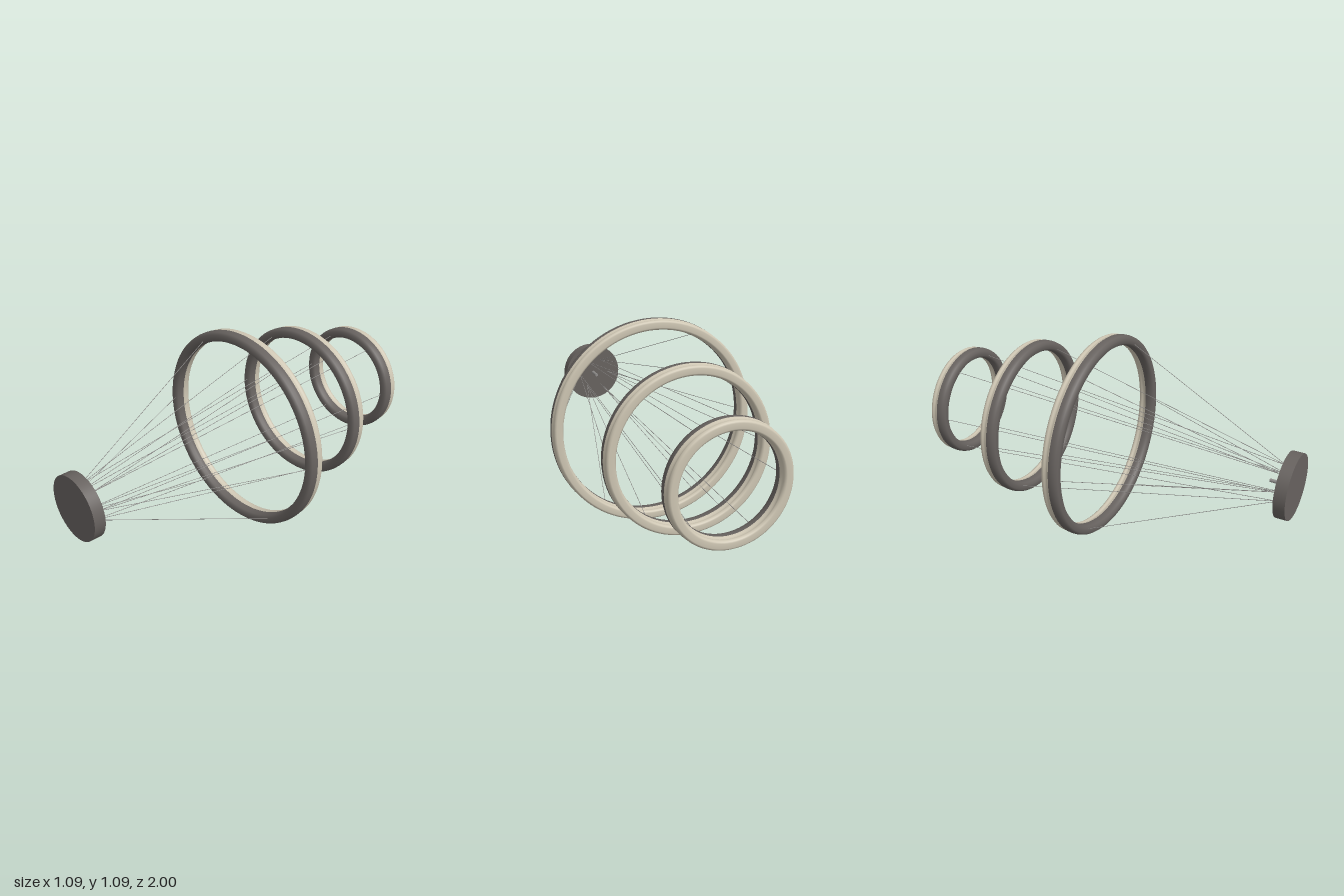
import * as THREE from 'three';

const darkMetal = new THREE.MeshStandardMaterial({ color: 0x67625f });
darkMetal.name = 'dark metal';
const paleDiffuser = new THREE.MeshStandardMaterial({ color: 0xcec6b3 });
paleDiffuser.name = 'pale diffuser';
const steel = new THREE.MeshStandardMaterial({ color: 0x8f8d8b });
steel.name = 'steel';

const CENTRE_Y = 0.548;
// Ring radius, z of its front edge
const RINGS = [
  { name: 'largeRing', radius: 0.519, front: -0.02 },
  { name: 'middleRing', radius: 0.402, front: -0.476 },
  { name: 'smallRing', radius: 0.277, front: -0.905 },
];

// Half profiles: distance from the ring's centre line, depth
const HOUSING = [[0.0275, -0.05], [0.028, -0.042], [0.028, -0.03], [0.024, -0.014], [0.013, -0.002]];
const DIFFUSER = [[0.012, -0.095], [0.019, -0.092], [0.024, -0.084], [0.024, -0.075],
  [0.02, -0.067], [0.025, -0.06], [0.0275, -0.05]];

// Revolves a half profile with its mirror image around the z axis
function revolve(name, radius, half, inward, material) {
  const outer = half.map(([d, z]) => new THREE.Vector2(radius + d, z));
  const inner = half.map(([d, z]) => new THREE.Vector2(radius - d, z)).reverse();
  const points = inward ? [...outer, ...inner] : [...inner, ...outer];
  const geometry = new THREE.LatheGeometry(points, 96);
  geometry.rotateX(Math.PI / 2);
  const mesh = new THREE.Mesh(geometry, material);
  mesh.name = name;
  return mesh;
}

// Thin straight rod between two points
function rod(name, a, b, radius) {
  const mesh = new THREE.Mesh(new THREE.CylinderGeometry(radius, radius, a.distanceTo(b), 8), steel);
  mesh.position.copy(a).add(b).multiplyScalar(0.5);
  mesh.quaternion.setFromUnitVectors(new THREE.Vector3(0, 1, 0), b.clone().sub(a).normalize());
  mesh.name = name;
  return mesh;
}

export function createModel() {
  const model = new THREE.Group();
  model.name = 'ringChandelier';

  // Mounting plate and its central stem
  const plate = new THREE.Mesh(new THREE.CylinderGeometry(0.169, 0.169, 0.06, 64), darkMetal);
  plate.rotation.x = Math.PI / 2;
  plate.position.z = 0.97;
  plate.name = 'mountingPlate';
  const stem = rod('stem', new THREE.Vector3(0, 0, 0.945), new THREE.Vector3(0, 0, 0.865), 0.009);
  model.add(plate, stem);

  for (const { name, radius, front } of RINGS) {
    // Ring: dark housing in front, pale diffuser behind
    const ring = new THREE.Group();
    ring.name = name;
    ring.position.z = front;
    ring.add(revolve('housing', radius, HOUSING, true, darkMetal));
    ring.add(revolve('diffuser', radius, DIFFUSER, false, paleDiffuser));
    model.add(ring);

    // Six suspension cables fanning out from the plate
    for (let i = 0; i < 6; i++) {
      const a = (i * Math.PI) / 3;
      const at = (r, z) => new THREE.Vector3(r * Math.cos(a), r * Math.sin(a), z);
      model.add(rod('cable', at(0.09, 0.926), at(radius - 0.008, front - 0.012), 0.0014));
    }
  }

  model.position.y = CENTRE_Y;
  const root = new THREE.Group();
  root.add(model);
  return root;
}
